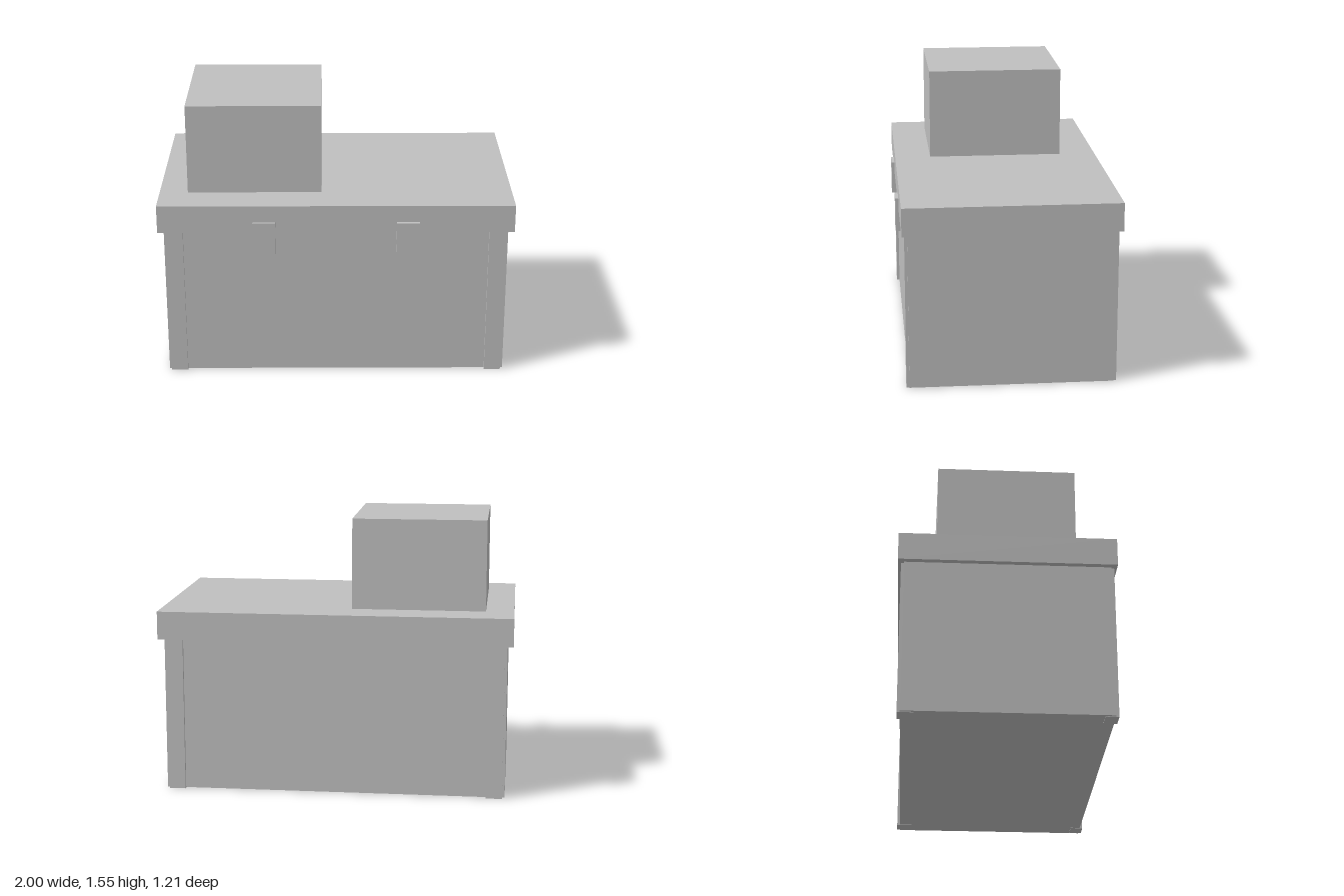
import * as THREE from 'three';

export function createModel() {
  const model = new THREE.Group();
  const grey = new THREE.MeshStandardMaterial({ color: 0xbfbfbf });
  grey.name = 'light grey';

  // Box given by its minimum and maximum corners
  const addBox = (name, [x0, y0, z0], [x1, y1, z1]) => {
    const mesh = new THREE.Mesh(new THREE.BoxGeometry(x1 - x0, y1 - y0, z1 - z0), grey);
    mesh.name = name;
    mesh.position.set((x0 + x1) / 2, (y0 + y1) / 2, (z0 + z1) / 2);
    model.add(mesh);
  };

  // Chest body, overhanging lid and the box resting on it
  addBox('body', [-0.967, 0.003, -0.571], [0.967, 0.876, 0.557]);
  addBox('lid', [-1, 0.876, -0.605], [1, 1.035, 0.588]);
  addBox('topBox', [-0.84, 1.035, -0.395], [-0.083, 1.55, 0.38]);

  for (const side of [-1, 1]) {
    const name = side > 0 ? 'left' : 'right';

    // Corner posts on the front and back faces
    const inner = side * 0.86, outer = side * 0.953;
    const x0 = Math.min(inner, outer), x1 = Math.max(inner, outer);
    addBox(name + 'FrontPost', [x0, 0, 0.5], [x1, 0.876, 0.573]);
    addBox(name + 'BackPost', [x0, 0, -0.588], [x1, 0.876, -0.5]);

    // Front latches, bridging the lid and the body
    const x = side * 0.403;
    addBox(name + 'Latch', [x - 0.064, 0.748, 0.55], [x + 0.064, 0.938, 0.605]);
  }
  return model;
}
